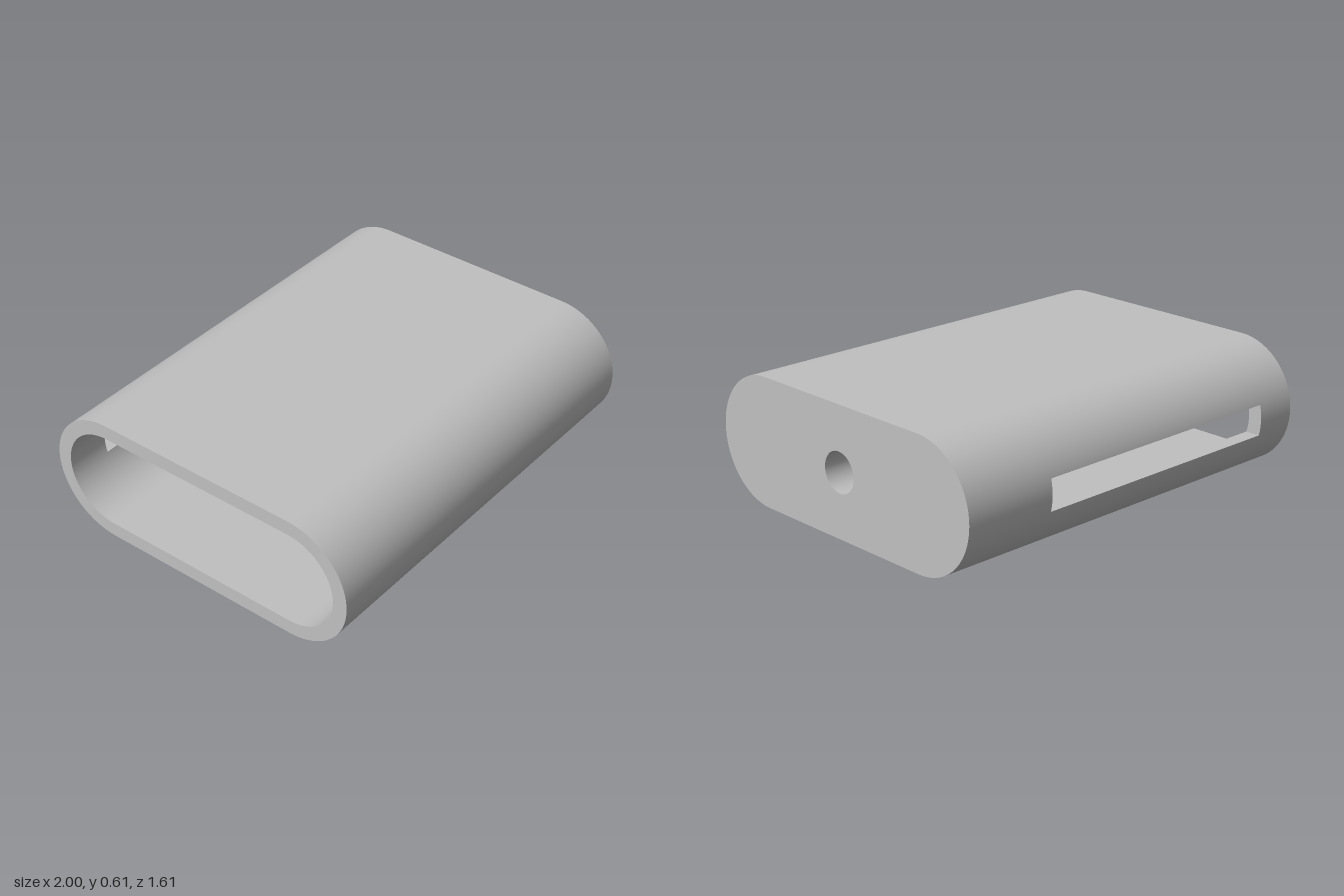
import * as THREE from 'three';
import { mergeGeometries } from 'three/addons/utils/BufferGeometryUtils.js';

const MID_Y = 0.305;          // height of the centre line
const HALF = 0.5;             // half width of the flat faces
const OUTER = 0.305, INNER = 0.235, HOLE = 0.095;
const LEFT = 1, RIGHT = -1, CAVITY_END = 0.78;
const SLOT_LEFT = 0.54, SLOT_RIGHT = -0.79, SLOT_H = 0.073;

// Arc points as (z, y); angle 0 points to the back, 90 degrees points up
function arc(centreZ, r, from, to, n) {
  return Array.from({ length: n + 1 }, (_, i) => {
    const a = from + (to - from) * i / n;
    return new THREE.Vector2(centreZ - r * Math.cos(a), MID_Y + r * Math.sin(a));
  });
}

const slotAngle = r => Math.asin(SLOT_H / r);

// Rounded outline without the strip where the slot lies
function mainPath(r) {
  const s = slotAngle(r), q = Math.PI / 2;
  return [...arc(-HALF, r, s, q, 20), ...arc(HALF, r, q, 3 * q, 48), ...arc(-HALF, r, -q, -s, 20)];
}

// The strip of the outline that contains the slot
const slotPath = r => arc(-HALF, r, -slotAngle(r), slotAngle(r), 8);
const fullPath = r => [...mainPath(r), ...slotPath(r).slice(1, -1)];

// Smooth skin swept along x; side is 1 for outward and -1 for inward faces
function skin(path, x0, x1, side, half = HALF) {
  const pos = [], nor = [], idx = [];
  path.forEach((p, i) => {
    const n = new THREE.Vector2(p.x - THREE.MathUtils.clamp(p.x, -half, half), p.y - MID_Y)
      .normalize().multiplyScalar(side);
    for (const x of [x0, x1]) {
      pos.push(x, p.y, p.x);
      nor.push(0, n.y, n.x);
    }
    if (i === path.length - 1) return;
    const a = 2 * i, b = a + 1, d = a + 2, c = a + 3;
    if (side > 0) idx.push(a, d, c, a, c, b);
    else idx.push(a, c, d, a, b, c);
  });
  const g = new THREE.BufferGeometry();
  g.setAttribute('position', new THREE.Float32BufferAttribute(pos, 3));
  g.setAttribute('normal', new THREE.Float32BufferAttribute(nor, 3));
  g.setIndex(idx);
  return g;
}

// Flat face across x, looking towards +x (facing 1) or -x (facing -1)
function endFace(outline, hole, x, facing) {
  const flat = pts => pts.map(p => new THREE.Vector2(-facing * p.x, p.y));
  const shape = new THREE.Shape(flat(outline));
  if (hole) shape.holes.push(new THREE.Path(flat(hole)));
  return new THREE.ShapeGeometry(shape).rotateY(facing * Math.PI / 2).translate(x, 0, 0);
}

export function createModel() {
  const group = new THREE.Group();
  const grey = new THREE.MeshStandardMaterial({ color: 0xc0c0c0 });
  grey.name = 'plain grey';
  const add = (name, geometry) => {
    const mesh = new THREE.Mesh(geometry, grey);
    mesh.name = name;
    group.add(mesh);
  };

  // Outer and inner skins, with the slot left open at the back
  const sleeve = (r, end, side) => mergeGeometries([
    skin(mainPath(r), RIGHT, end, side),
    skin(slotPath(r), RIGHT, SLOT_RIGHT, side),
    skin(slotPath(r), SLOT_LEFT, end, side),
  ]);
  add('outerShell', sleeve(OUTER, LEFT, 1));
  add('innerLining', sleeve(INNER, CAVITY_END, -1));

  // Closed end with its round through hole, and the rim of the open end
  const circle = arc(0, HOLE, 0, 2 * Math.PI, 48);
  const rim = circle.slice(0, -1);
  add('closedEnd', endFace(fullPath(OUTER), rim, LEFT, 1));
  add('cavityEnd', endFace(fullPath(INNER), rim, CAVITY_END, -1));
  add('cableHole', skin(circle, CAVITY_END, LEFT, -1, 0));
  add('openRim', endFace(fullPath(OUTER), fullPath(INNER), RIGHT, -1));

  // Slot walls through the thickness of the back
  const edgeZ = r => -HALF - Math.sqrt(r * r - SLOT_H * SLOT_H);
  const zo = edgeZ(OUTER), zi = edgeZ(INNER);
  for (const s of [-1, 1]) {
    const wall = new THREE.PlaneGeometry(SLOT_LEFT - SLOT_RIGHT, zi - zo)
      .rotateX(s * Math.PI / 2)
      .translate((SLOT_LEFT + SLOT_RIGHT) / 2, MID_Y + s * SLOT_H, (zo + zi) / 2);
    add(s > 0 ? 'slotTop' : 'slotBottom', wall);
  }
  const section = [...slotPath(OUTER), ...slotPath(INNER).reverse()];
  add('slotLeftEnd', endFace(section, null, SLOT_LEFT, -1));
  add('slotRightEnd', endFace(section, null, SLOT_RIGHT, 1));

  return group;
}
